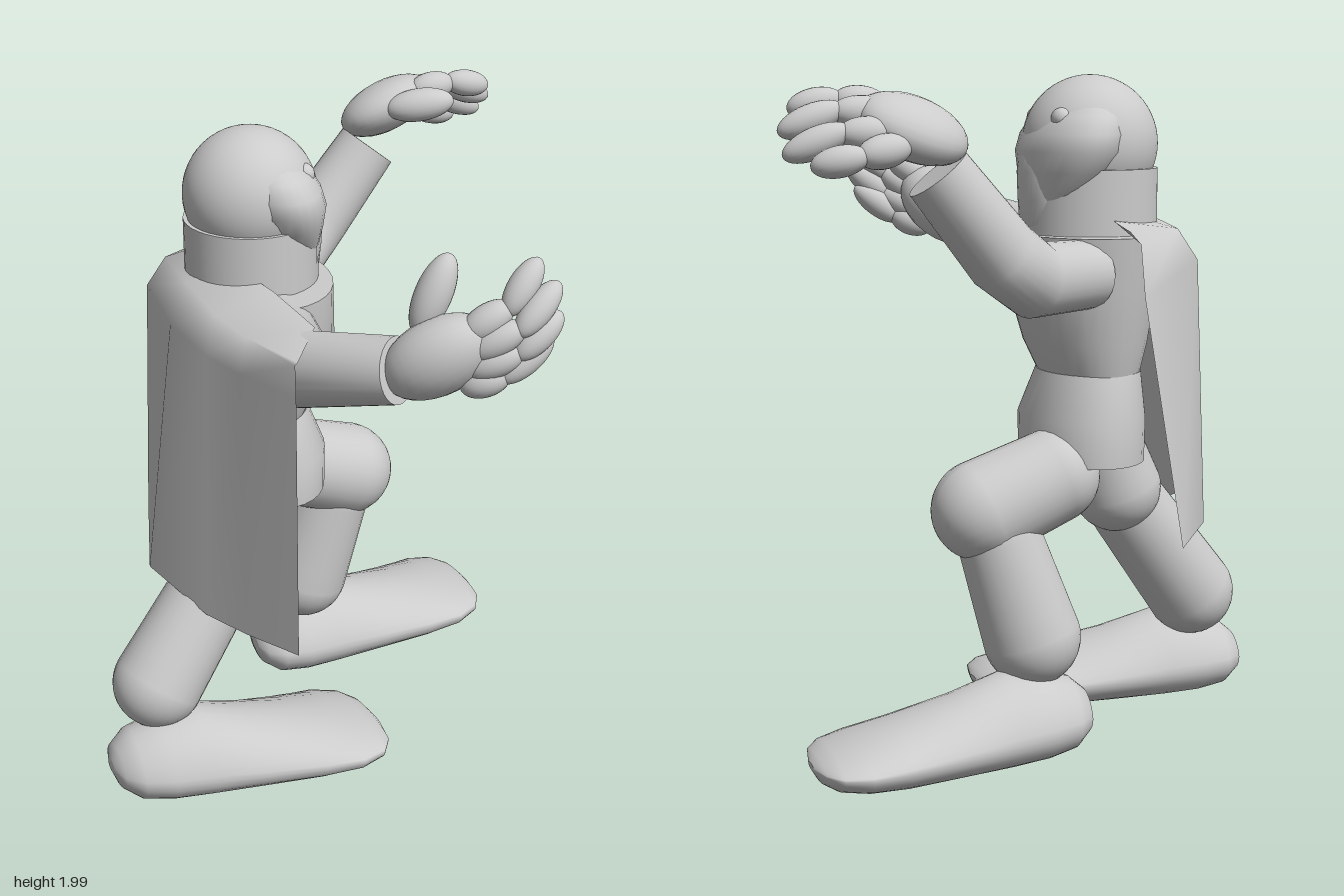
import * as THREE from 'three';

const V = (p) => new THREE.Vector3(...p);
const grey = new THREE.MeshStandardMaterial({ color: 0xcccccc });
const greyOpen = new THREE.MeshStandardMaterial({ color: 0xcccccc, side: THREE.DoubleSide });

function add(parent, name, geo, mat = grey) {
  const m = new THREE.Mesh(geo, mat);
  m.name = name;
  parent.add(m);
}

// Skin over closed rings of points, with flat end caps
function loft(rings) {
  const n = rings[0].length, pos = [], idx = [];
  rings.forEach((r) => r.forEach((p) => pos.push(p.x, p.y, p.z)));
  for (let i = 0; i < rings.length - 1; i++) {
    for (let j = 0; j < n; j++) {
      const a = i * n + j, b = i * n + (j + 1) % n;
      idx.push(a, a + n, b, b, a + n, b + n);
    }
  }
  [rings[0], rings[rings.length - 1]].forEach((r, end) => {
    const base = pos.length / 3;
    r.forEach((p) => pos.push(p.x, p.y, p.z));
    for (let j = 1; j < n - 1; j++) {
      if (end) idx.push(base, base + j + 1, base + j);
      else idx.push(base, base + j, base + j + 1);
    }
  });
  const g = new THREE.BufferGeometry();
  g.setAttribute('position', new THREE.Float32BufferAttribute(pos, 3));
  g.setIndex(idx);
  g.computeVertexNormals();
  return g;
}

// Ellipse round c; u x v points back along the loft
function ring(c, u, v, n = 32) {
  return Array.from({ length: n }, (_, j) => {
    const a = j / n * Math.PI * 2;
    return c.clone().addScaledVector(u, Math.cos(a)).addScaledVector(v, Math.sin(a));
  });
}

// Upright body: sections [y, x, z, rx, rz], bottom to top
const body = (s) => loft(s.map(([y, x, z, rx, rz]) =>
  ring(V([x, y, z]), V([rx, 0, 0]), V([0, 0, rz]))));

// Capsule between the centres of two ball ends
function capsule(a, b, r, r2) {
  const d = V(b).sub(V(a)), len = d.length();
  const g = new THREE.CapsuleGeometry(1, len, 12, 28, 4);
  const p = g.attributes.position;
  for (let i = 0; i < p.count; i++) {
    const y = p.getY(i), t = THREE.MathUtils.clamp(y / len + 0.5, 0, 1);
    const k = r + (r2 - r) * t;
    p.setXYZ(i, p.getX(i) * k, t * len + (y - (t - 0.5) * len) * k, p.getZ(i) * k);
  }
  g.computeVertexNormals();
  g.applyQuaternion(new THREE.Quaternion().setFromUnitVectors(V([0, 1, 0]), d.normalize()));
  return g.translate(...a);
}

// Ellipsoid stretched from a to b, with two cross radii and a roll about its length
function pod(a, b, w, h = w, roll = 0) {
  const A = V(a), B = V(b), d = B.clone().sub(A), len = d.length();
  const g = new THREE.SphereGeometry(1, 24, 16).scale(w, len / 2, h).rotateY(roll);
  g.applyQuaternion(new THREE.Quaternion().setFromUnitVectors(V([0, 1, 0]), d.normalize()));
  return g.translate(...A.add(B).multiplyScalar(0.5).toArray());
}

// Arm with mitred bends
function arm(points, radii) {
  const pts = points.map(V), last = pts.length - 1;
  const dirs = pts.slice(1).map((p, i) => p.clone().sub(pts[i]).normalize());
  const bend = dirs[0].clone().cross(dirs[last - 1]);
  return loft(pts.map((p, i) => {
    const before = dirs[Math.max(i - 1, 0)], after = dirs[Math.min(i, last - 1)];
    const t = before.clone().add(after).normalize();
    const side = bend.clone().addScaledVector(t, -bend.dot(t)).normalize();
    const v = side.clone().cross(t).multiplyScalar(radii[i] / t.dot(before));
    return ring(p, side.multiplyScalar(radii[i]), v, 28);
  }));
}

// Palm, jointed fingers and thumb
function hand(root, name, palm, fingers, thumb) {
  const g = new THREE.Group();
  g.name = name;
  root.add(g);
  add(g, 'palm', pod(...palm));
  fingers.forEach(([a, b, c]) => {
    add(g, 'fingerBase', pod(a, b, 0.046));
    add(g, 'fingerTip', pod(b.map((t, i) => t - (c[i] - t) * 0.25), c, 0.042));
  });
  add(g, 'thumb', pod(...thumb, 0.052));
}

// Long shoe: rounded heel, narrow raised instep, flat wide toe
function foot(x, z, dz) {
  const s = [ // along, height of widest line, height above, depth below, half width
    [-0.157, 0.135, 0.02, 0.02, 0.03], [-0.14, 0.13, 0.07, 0.06, 0.09],
    [-0.09, 0.125, 0.118, 0.095, 0.135], [0, 0.12, 0.15, 0.105, 0.16],
    [0.12, 0.115, 0.17, 0.105, 0.175], [0.28, 0.105, 0.13, 0.096, 0.19],
    [0.46, 0.1, 0.09, 0.09, 0.212], [0.58, 0.1, 0.06, 0.08, 0.22],
    [0.66, 0.1, 0.038, 0.066, 0.19], [0.7, 0.1, 0.02, 0.045, 0.13],
    [0.717, 0.095, 0.006, 0.012, 0.04]];
  return loft(s.map(([t, y, up, down, w]) =>
    ring(V([x + t, y, z + dz * t / 0.6]), V([0, 0, w]), V([0, 1, 0])).map((p) => {
      const k = p.y - y;
      p.y = y + (k > 0 ? up * k ** 1.35 : down * k);
      return p;
    })));
}

export function createModel() {
  const root = new THREE.Group();
  root.name = 'figure';

  // Head, neck and face
  const head = new THREE.Group();
  head.name = 'head';
  root.add(head);
  add(head, 'skull', new THREE.SphereGeometry(0.2, 40, 28).translate(-0.2, 1.8, -0.21));
  add(head, 'neck', new THREE.CylinderGeometry(0.2, 0.2, 0.19, 40).translate(-0.2, 1.635, -0.21));
  add(head, 'face', body([
    [1.57, -0.06, -0.21, 0.055, 0.08], [1.61, -0.075, -0.21, 0.07, 0.115],
    [1.66, -0.095, -0.21, 0.095, 0.16],
    [1.72, -0.118, -0.21, 0.125, 0.205], [1.78, -0.135, -0.21, 0.148, 0.235],
    [1.83, -0.145, -0.21, 0.142, 0.235], [1.88, -0.16, -0.21, 0.125, 0.205],
    [1.93, -0.18, -0.21, 0.08, 0.13], [1.96, -0.19, -0.21, 0.03, 0.05]]));
  add(head, 'muzzle', body([
    [1.55, -0.05, -0.21, 0.045, 0.065], [1.57, -0.05, -0.21, 0.06, 0.09],
    [1.64, -0.055, -0.21, 0.068, 0.115], [1.72, -0.06, -0.21, 0.076, 0.12],
    [1.79, -0.07, -0.21, 0.08, 0.09], [1.81, -0.08, -0.21, 0.07, 0.06]]));
  for (const s of [-1, 1]) {
    add(head, 'eye', new THREE.SphereGeometry(0.035, 20, 14)
      .scale(0.9, 0.9, 1).translate(-0.075, 1.875, -0.21 + s * 0.11));
  }

  // Trunk
  add(root, 'chest', body([
    [1.13, -0.2, -0.205, 0.145, 0.207], [1.22, -0.19, -0.203, 0.178, 0.235],
    [1.38, -0.18, -0.2, 0.215, 0.27], [1.54, -0.19, -0.203, 0.22, 0.287]]));
  add(root, 'pelvis', body([
    [0.87, -0.18, -0.203, 0.18, 0.25], [1.0, -0.18, -0.203, 0.182, 0.253],
    [1.135, -0.2, -0.205, 0.15, 0.207]]));

  // Legs: one stepping forward, one trailing
  add(root, 'frontThigh', capsule([-0.05, 0.835, -0.32], [0.17, 0.75, -0.335], 0.14, 0.15));
  add(root, 'frontShin', capsule([0.12, 0.66, -0.345], [0.03, 0.37, -0.372], 0.125, 0.145));
  add(root, 'frontFoot', foot(0.01, -0.4, -0.1));
  add(root, 'backThigh', capsule([-0.29, 0.89, -0.07], [-0.35, 0.735, -0.055], 0.125, 0.14));
  add(root, 'backShin', capsule([-0.41, 0.66, -0.01], [-0.64, 0.36, 0.035], 0.125, 0.14));
  add(root, 'backFoot', foot(-0.665, 0.1, 0.04));

  // Arms
  add(root, 'rightArm', arm([[-0.12, 1.435, -0.41], [0.09, 1.44, -0.56],
    [0.2, 1.515, -0.625], [0.38, 1.74, -0.62]], [0.1, 0.105, 0.105, 0.095]));
  add(root, 'leftArm', arm([[-0.2, 1.44, -0.02], [-0.27, 1.45, 0.29], [-0.09, 1.52, 0.55]],
    [0.11, 0.11, 0.095]));

  // Hands
  hand(root, 'rightHand', [[0.3, 1.81, -0.62], [0.6, 1.91, -0.64], 0.08, 0.13, -0.35], [
    [[0.5, 1.92, -0.56], [0.65, 1.935, -0.55], [0.77, 1.91, -0.54]],
    [[0.5, 1.9, -0.62], [0.67, 1.905, -0.62], [0.81, 1.85, -0.61]],
    [[0.5, 1.85, -0.69], [0.67, 1.85, -0.69], [0.81, 1.79, -0.67]],
    [[0.48, 1.82, -0.72], [0.63, 1.79, -0.75], [0.75, 1.765, -0.73]],
  ], [[0.4, 1.88, -0.53], [0.6, 1.91, -0.45]]);
  hand(root, 'leftHand', [[-0.12, 1.48, 0.54], [0.12, 1.66, 0.69], 0.115, 0.1], [
    [[0.04, 1.64, 0.67], [0.17, 1.73, 0.71], [0.26, 1.84, 0.69]],
    [[0.05, 1.59, 0.68], [0.19, 1.68, 0.75], [0.3, 1.78, 0.73]],
    [[0.05, 1.54, 0.68], [0.19, 1.61, 0.75], [0.3, 1.7, 0.75]],
    [[0.04, 1.49, 0.67], [0.16, 1.54, 0.73], [0.28, 1.63, 0.74]],
  ], [[-0.04, 1.62, 0.56], [0.06, 1.84, 0.56]]);

  // Cape: folded over the shoulders, then hanging down the back
  const rows = [
    [[-0.2, 1.565, -0.55], [-0.2, 1.585, -0.42], [-0.28, 1.6, -0.2],
      [-0.24, 1.59, 0.05], [-0.21, 1.56, 0.27], [-0.36, 1.57, 0.49]],
    [[-0.23, 1.53, -0.555], [-0.4, 1.56, -0.41], [-0.43, 1.575, -0.15],
      [-0.44, 1.57, 0.1], [-0.42, 1.57, 0.28], [-0.37, 1.565, 0.495]],
    [[-0.24, 1.38, -0.565], [-0.455, 1.47, -0.43], [-0.49, 1.46, -0.14],
      [-0.48, 1.46, 0.11], [-0.45, 1.47, 0.29], [-0.37, 1.47, 0.5]],
    [[-0.33, 0.67, -0.65], [-0.47, 0.7, -0.47], [-0.62, 0.72, -0.05],
      [-0.51, 0.62, 0.13], [-0.45, 0.63, 0.3], [-0.37, 0.65, 0.5]]];
  const idx = [];
  for (let i = 0; i < rows.length - 1; i++) {
    for (let j = 0; j < 5; j++) {
      const a = i * 6 + j;
      idx.push(a, a + 1, a + 6, a + 1, a + 7, a + 6);
    }
  }
  const cape = new THREE.BufferGeometry();
  cape.setAttribute('position', new THREE.Float32BufferAttribute(rows.flat(2), 3));
  cape.setIndex(idx);
  cape.computeVertexNormals();
  add(root, 'cape', cape, greyOpen);
  return root;
}
